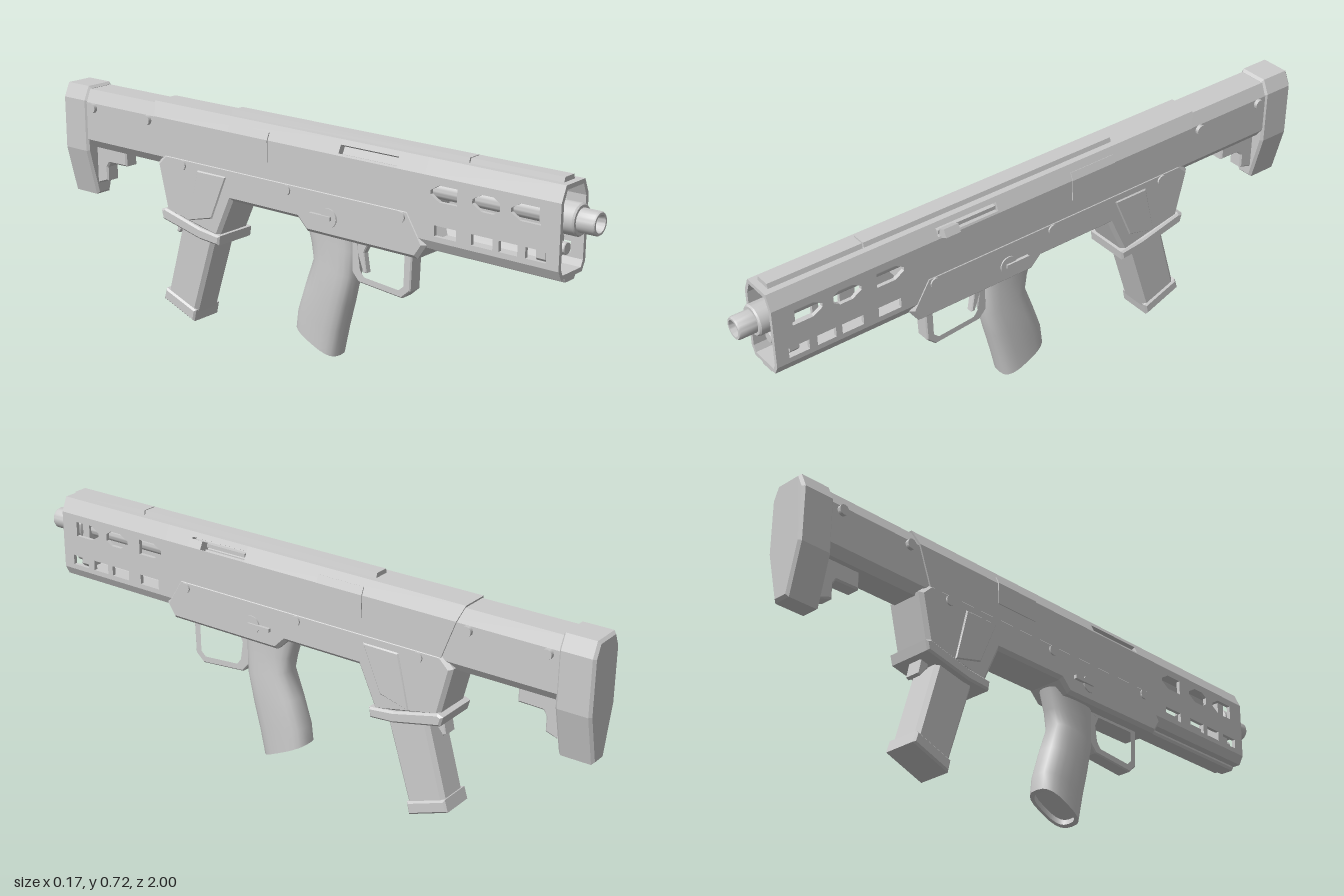
import * as THREE from 'three';
import { toCreasedNormals } from 'three/addons/utils/BufferGeometryUtils.js';

const mat = new THREE.MeshStandardMaterial({ color: 0xcccccc });
const shapeOf = (pts) => new THREE.Shape(pts.map(([a, b]) => new THREE.Vector2(a, b)));
const mirrorX = (pts) => pts.map(([x, y]) => [-x, y]).reverse();

export function createModel() {
  const model = new THREE.Group();
  model.name = 'bullpupProp';
  const body = new THREE.Group();
  body.name = 'body';
  body.position.x = -0.005;
  model.add(body);

  const add = (name, geo) => {
    const m = new THREE.Mesh(geo, mat);
    m.name = name;
    body.add(m);
    return m;
  };
  // side profile in (z, y), extruded to width w about x, with bevelled edges
  const side = (name, pts, w, b = 0, holes = [], x = 0) => {
    const s = shapeOf(pts);
    holes.forEach((h) => s.holes.push(shapeOf(h)));
    const g = new THREE.ExtrudeGeometry(s, {
      depth: w - 2 * b, bevelEnabled: b > 0, bevelSize: b, bevelThickness: b, bevelOffset: -b, bevelSegments: 1,
    });
    g.translate(0, 0, b - w / 2).rotateY(-Math.PI / 2).translate(x, 0, 0);
    return add(name, g);
  };
  // cross-section in (x, y), extruded from z0 back to z1
  const section = (name, pts, z0, z1) => {
    const g = new THREE.ExtrudeGeometry(shapeOf(pts), { depth: z0 - z1, bevelEnabled: false });
    return add(name, g.translate(0, 0, z1));
  };
  // symmetric cross-section from its right half, listed bottom to top
  const sym = (half) => [...half, ...mirrorX(half)];
  const box = (name, w, h, d, x, y, z) => add(name, new THREE.BoxGeometry(w, h, d).translate(x, y, z));
  const rodX = (name, r, w, x, y, z, n = 12) =>
    add(name, toCreasedNormals(new THREE.CylinderGeometry(r, r, w, n).rotateZ(Math.PI / 2).translate(x, y, z), 0.7));
  const latheZ = (name, pts, y) => {
    const g = new THREE.LatheGeometry(pts.map(([r, z]) => new THREE.Vector2(r, z)), 28);
    return add(name, toCreasedNormals(g.rotateX(Math.PI / 2).translate(0, y, 0), 0.6));
  };

  // upper receiver, with a slot along both top chamfers
  const plain = sym([[0.067, 0.53], [0.067, 0.658], [0.046, 0.703]]);
  const slotted = sym([[0.067, 0.53], [0.067, 0.658], [0.0645, 0.664], [0.045, 0.658], [0.035, 0.679], [0.053, 0.688], [0.046, 0.703]]);
  section('upperFront', plain, 0.48, 0.38);
  section('upperSlotted', slotted, 0.38, 0.17);
  const rear = section('upperRear', plain, 0.17, -0.53).geometry;
  const p = rear.attributes.position;
  for (let i = 0; i < p.count; i++) {
    if (p.getZ(i) < -0.5) p.setZ(i, -0.53 - (p.getY(i) - 0.54) * 0.375);
  }
  rear.computeVertexNormals();

  // handguard: top and bottom channels plus pierced side walls
  const t = 0.012;
  section('handguardTop', [[0.067, 0.658], [0.046, 0.703], [-0.046, 0.703], [-0.067, 0.658],
    [-0.067 + t, 0.655], [-0.04, 0.69], [0.04, 0.69], [0.067 - t, 0.655]], 0.92, 0.48);
  section('handguardBottom', [[0.067, 0.47], [0.067 - t, 0.474], [0.046, 0.455], [-0.046, 0.455],
    [-0.067 + t, 0.474], [-0.067, 0.47], [-0.052, 0.442], [0.052, 0.442]], 0.92, 0.46);
  const upperHoles = [[0.86, 0.765, 0], [0.73, 0.64, 0.02], [0.59, 0.5, 0]].map(([a, b, c]) =>
    [[a, 0.6], [a - c, 0.587], [b + 0.03, 0.587], [b, 0.605], [b, 0.617], [b + 0.03, 0.635], [a - c, 0.635], [a, 0.622]]);
  const lowerHoles = [[0.88, 0.815], [0.79, 0.73], [0.71, 0.64], [0.59, 0.515]].map(([a, b]) =>
    [[a, 0.486], [b, 0.486], [b, 0.518], [a, 0.518]]);
  const wall = [[0.92, 0.47], [0.92, 0.658], [0.48, 0.658], [0.48, 0.535], [0.41, 0.535], [0.46, 0.47]];
  for (const s of [-1, 1]) side('handguardWall', wall, t, 0, [...upperHoles, ...lowerHoles], s * (0.067 - t / 2));

  // barrel, muzzle and front bracket
  latheZ('barrel', [[0.028, 0.45], [0.028, 0.86], [0.046, 0.865], [0.046, 0.94], [0.042, 0.945], [0.034, 0.945],
    [0.034, 0.995], [0.031, 1], [0.025, 1], [0.021, 0.96], [0, 0.96]], 0.603);
  section('barrelBracket', sym([[0.035, 0.475], [0.045, 0.487], [0.045, 0.53], [0.036, 0.55], [0.036, 0.65]]), 0.865, 0.835);
  for (const s of [-1, 1]) latheZ('guideRod', [[0.018, 0.86], [0.018, 0.888], [0.016, 0.89], [0, 0.89]], 0.507).position.x = s * 0.023;

  // rails
  section('topRailFront', sym([[0.027, 0.7], [0.022, 0.717]]), 0.9, 0.602);
  section('topRailRear', sym([[0.027, 0.7], [0.022, 0.717]]), 0.598, -0.28);
  section('bottomRail', sym([[0.022, 0.428], [0.027, 0.436], [0.027, 0.45]]), 0.915, 0.485);

  // lower receiver with magazine well
  side('lowerReceiver', [[0.425, 0.547], [0.485, 0.45], [0.455, 0.405], [0.05, 0.405], [0.015, 0.44], [-0.25, 0.44],
    [-0.31, 0.31], [-0.53, 0.355], [-0.568, 0.51], [-0.53, 0.547]], 0.138, 0.011);
  side('wellCollar', [[-0.295, 0.32], [-0.3, 0.288], [-0.38, 0.294], [-0.54, 0.33], [-0.548, 0.36], [-0.53, 0.367],
    [-0.38, 0.33]], 0.156, 0.006);
  side('magazineCatch', [[-0.49, 0.35], [-0.49, 0.31], [-0.52, 0.275], [-0.53, 0.28], [-0.515, 0.35]], 0.05, 0.003);
  side('wellPanel', [[-0.268, 0.515], [-0.33, 0.37], [-0.43, 0.345], [-0.39, 0.515]], 0.146, 0.004);

  // magazine
  side('magazine', [[-0.33, 0.33], [-0.43, 0.015], [-0.555, 0.062], [-0.47, 0.36]], 0.106, 0.012);
  side('magazineBase', [[-0.423, 0.04], [-0.432, 0, 0], [-0.565, 0.05], [-0.553, 0.088]], 0.118, 0.006);

  // pistol grip lofted through rings: front point, back point, half width
  const rings = [[0.2, 0.415, 0.01, 0.43, 0.046], [0.2, 0.36, 0.03, 0.365, 0.045], [0.195, 0.28, 0.042, 0.315, 0.049],
    [0.172, 0.185, 0.012, 0.23, 0.053], [0.15, 0.1, -0.018, 0.14, 0.053], [0.13, 0.012, -0.024, 0.085, 0.053],
    [0.117, 0.018, -0.011, 0.079, 0.042], [0.122, 0.035, -0.006, 0.096, 0.042]];
  const n = 20, pos = [], idx = [];
  rings.forEach(([fz, fy, bz, by, w], i) => {
    for (let j = 0; j < n; j++) {
      const a = (j / n) * Math.PI * 2;
      const sq = (v) => Math.sign(v) * Math.abs(v) ** 0.7;
      const c = sq(Math.cos(a)) / 2;
      pos.push(sq(Math.sin(a)) * w, (fy + by) / 2 + c * (by - fy), (fz + bz) / 2 + c * (bz - fz));
      const k = i * n + j, k1 = i * n + ((j + 1) % n);
      if (i < rings.length - 1) idx.push(k, k1, k + n, k1, k1 + n, k + n);
      else if (j > 0 && j < n - 1) idx.push(i * n, k, k1);
    }
  });
  const grip = new THREE.BufferGeometry();
  grip.setAttribute('position', new THREE.Float32BufferAttribute(pos, 3));
  grip.setIndex(idx);
  add('pistolGrip', toCreasedNormals(grip, 0.8));

  // trigger and its guard
  side('triggerGuard', [[0.41, 0.41], [0.405, 0.285], [0.375, 0.258], [0.215, 0.272], [0.19, 0.3], [0.19, 0.41]], 0.05, 0.004,
    [[[0.388, 0.4], [0.386, 0.295], [0.366, 0.277], [0.235, 0.288], [0.218, 0.31], [0.205, 0.4]]]);
  side('trigger', [[0.25, 0.41], [0.225, 0.36], [0.235, 0.3], [0.222, 0.3], [0.2, 0.36], [0.2, 0.41]], 0.024, 0.003);

  // stock, hook and butt pad
  section('stock', sym([[0.042, 0.503], [0.062, 0.53], [0.062, 0.655], [0.044, 0.696]]), -0.5, -0.9);
  side('stockHook', [[-0.755, 0.51], [-0.755, 0.452], [-0.835, 0.45], [-0.845, 0.435], [-0.845, 0.388], [-0.9, 0.37], [-0.9, 0.51]], 0.05, 0.005);
  const pad = new THREE.ExtrudeGeometry(
    shapeOf(sym([[0.028, 0.334], [0.067, 0.49], [0.067, 0.66], [0.046, 0.705]])),
    { depth: 0.094, bevelSize: 0.008, bevelThickness: 0.008, bevelOffset: -0.008, bevelSegments: 1 });
  add('buttPad', pad.translate(0, 0, -0.992));

  // ejection panels, pins and selectors on both sides
  for (const s of [-1, 1]) {
    const panel = [[0.06, 0.59], [0.07, 0.59], [0.07, 0.659], [0.0595, 0.682], [0.05, 0.678]];
    section('ejectionPanel', s > 0 ? panel : mirrorX(panel), -0.1, -0.26);
    for (const [z, y] of [[0.4, 0.52], [-0.025, 0.52], [-0.455, 0.52], [-0.61, 0.64], [-0.86, 0.64]]) {
      rodX('pin', 0.016, 0.02, s * 0.064, y, z);
    }
    rodX('selectorDisc', 0.029, 0.012, s * 0.067, 0.465, 0.14, 16);
    box('selectorLever', 0.012, 0.012, 0.08, s * 0.073, 0.465, 0.11);
  }

  // charging handle on the left
  box('chargingRod', 0.014, 0.012, 0.2, 0.05, 0.674, 0.275);
  const knob = add('chargingKnob', new THREE.BoxGeometry(0.036, 0.026, 0.05));
  knob.position.set(0.068, 0.674, 0.345);
  knob.rotation.z = 0.45;
  return model;
}
